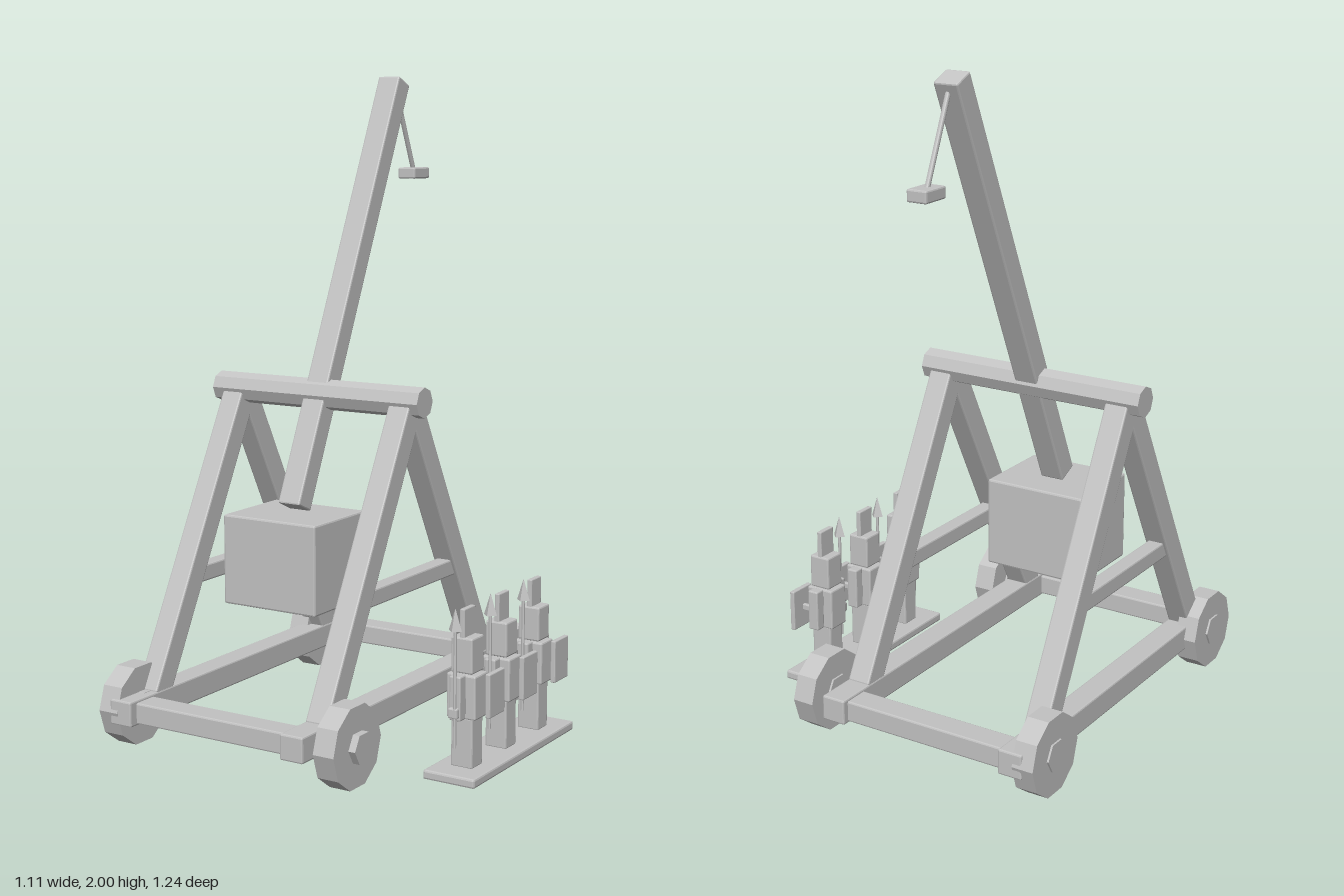
import * as THREE from 'three';
import { RoundedBoxGeometry } from 'three/addons/geometries/RoundedBoxGeometry.js';

const grey = new THREE.MeshStandardMaterial({ color: 0xc2c2c2, flatShading: true });
grey.name = 'plain grey';

function add(parent, name, geometry, x, y, z) {
  const mesh = new THREE.Mesh(geometry, grey);
  mesh.name = name;
  mesh.position.set(x, y, z);
  parent.add(mesh);
  return mesh;
}

// Box with a small chamfer, placed by its centre
function block(parent, name, [w, h, d], [x, y, z], bevel = 0.005) {
  return add(parent, name, new RoundedBoxGeometry(w, h, d, 1, bevel), x, y, z);
}

// Square beam running between two [y, z] points at a given x
function beam(parent, name, x, [y0, z0], [y1, z1], w, d) {
  const length = Math.hypot(y1 - y0, z1 - z0);
  const mesh = block(parent, name, [w, length, d], [x, (y0 + y1) / 2, (z0 + z1) / 2]);
  mesh.rotation.x = Math.atan2(z1 - z0, y1 - y0);
  return mesh;
}

// Prism lying along x, with a corner pointing to +z
function prismX(parent, name, radius, length, sides, x, y, z) {
  const geometry = new THREE.CylinderGeometry(radius, radius, length, sides);
  geometry.rotateZ(Math.PI / 2);
  return add(parent, name, geometry, x, y, z);
}

function makeSoldier(z) {
  const soldier = new THREE.Group();
  soldier.name = 'soldier';
  soldier.position.set(0.468, 0, z);
  block(soldier, 'legs', [0.07, 0.15, 0.064], [0, 0.1, 0]);
  block(soldier, 'torso', [0.094, 0.13, 0.075], [0, 0.237, 0]);
  block(soldier, 'head', [0.07, 0.105, 0.07], [0, 0.357, 0]);
  block(soldier, 'crest', [0.016, 0.09, 0.064], [0, 0.447, 0], 0.003);
  for (const side of [-1, 1]) {
    block(soldier, 'arm', [0.036, 0.13, 0.034], [0, 0.24, side * 0.056], 0.004);
  }
  block(soldier, 'hand', [0.03, 0.03, 0.03], [0, 0.2, 0.072], 0.004);
  block(soldier, 'shield', [0.016, 0.13, 0.09], [0.061, 0.235, -0.055], 0.003);
  block(soldier, 'shieldGrip', [0.05, 0.02, 0.014], [0.035, 0.235, -0.05], 0.003);
  add(soldier, 'spearShaft', new THREE.CylinderGeometry(0.005, 0.005, 0.35, 6), 0.006, 0.275, 0.082);
  add(soldier, 'spearTip', new THREE.ConeGeometry(0.021, 0.065, 4), 0.006, 0.474, 0.082);
  return soldier;
}

export function createModel() {
  const model = new THREE.Group();
  model.name = 'siegeEngine';

  // Base frame
  const railX = [-0.47, 0.138];
  const midX = -0.167;
  const frame = new THREE.Group();
  frame.name = 'frame';
  model.add(frame);
  for (const x of railX) {
    block(frame, 'sideRail', [0.077, 0.077, 1.236], [x, 0.13, 0]);
    // A-frame legs and their brace
    for (const s of [-1, 1]) beam(frame, 'leg', x, [0.15, s * 0.46], [1.02, 0], 0.073, 0.075);
    block(frame, 'brace', [0.05, 0.052, 0.54], [x, 0.478, 0]);
  }
  for (const z of [-0.556, 0.548]) {
    block(frame, 'crossBeam', [0.6, 0.064, 0.083], [midX, 0.128, z]);
  }

  // Pivot axle across the top
  prismX(frame, 'pivotAxle', 0.047, 0.745, 8, -0.17, 1.03, 0);

  // Wheels with their hubs
  for (const x of [-0.513, 0.247]) {
    for (const z of [-0.497, 0.497]) {
      const wheel = new THREE.Group();
      wheel.name = 'wheel';
      wheel.position.set(x, 0.128, z);
      prismX(wheel, 'rim', 0.124, 0.068, 10, 0, 0, 0);
      prismX(wheel, 'hub', 0.048, 0.096, 6, 0.008, 0, 0);
      model.add(wheel);
    }
  }

  // Throwing arm, counterweight and sling
  const thrower = new THREE.Group();
  thrower.name = 'thrower';
  model.add(thrower);
  beam(thrower, 'throwingArm', midX, [0.702, 0.147], [1.985, -0.432], 0.077, 0.07);
  block(thrower, 'counterweight', [0.33, 0.275, 0.277], [midX, 0.548, 0.146], 0.006);
  beam(thrower, 'slingRope', midX, [1.95, -0.445], [1.7, -0.553], 0.014, 0.014);
  block(thrower, 'slingPouch', [0.064, 0.036, 0.094], [midX, 1.692, -0.555]);

  // Row of soldiers on a plinth
  const squad = new THREE.Group();
  squad.name = 'squad';
  model.add(squad);
  block(squad, 'plinth', [0.167, 0.028, 0.635], [0.4695, 0.014, 0], 0.006);
  for (const z of [-0.207, 0, 0.207]) squad.add(makeSoldier(z));

  return model;
}
